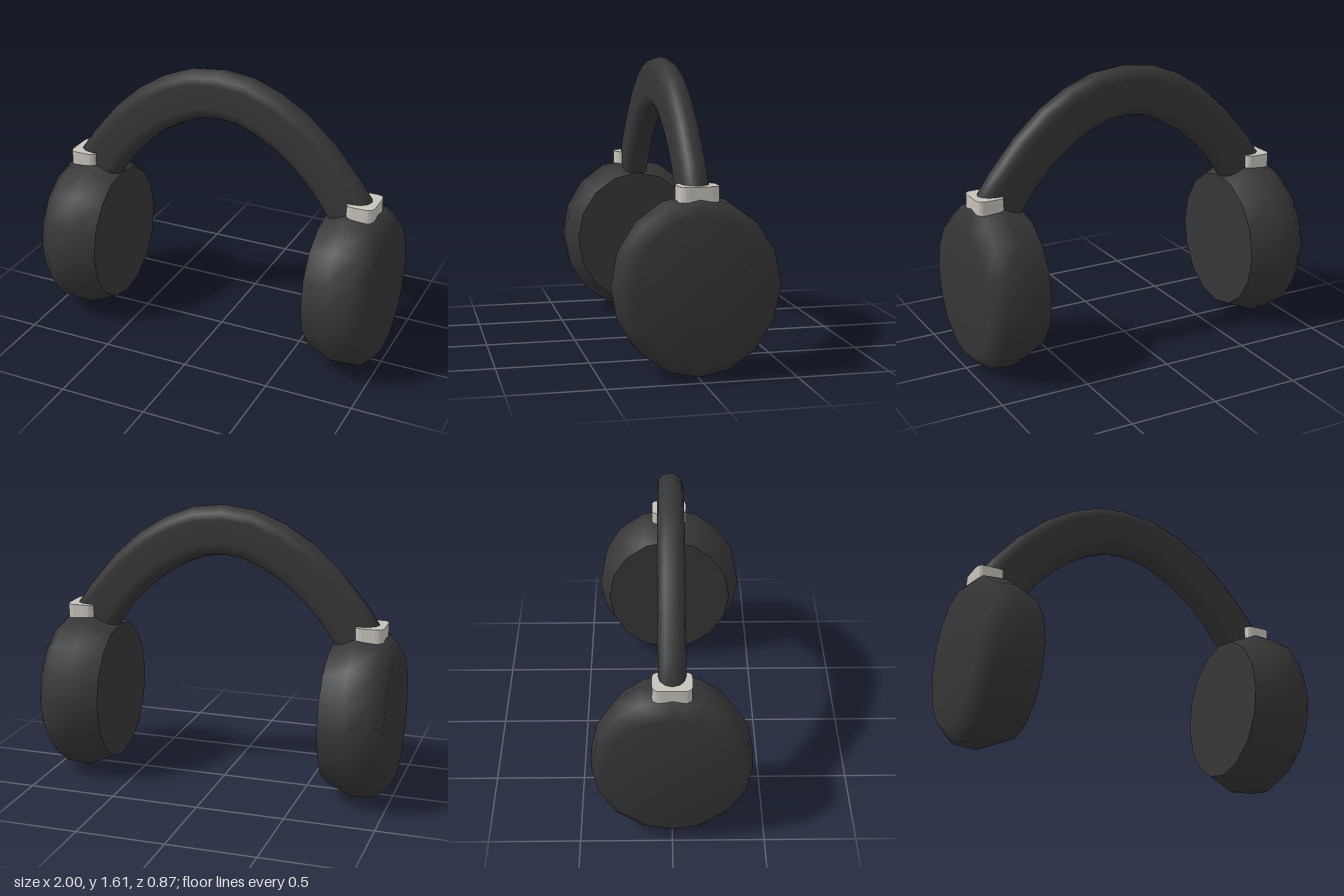
import * as THREE from 'three';

const black = new THREE.MeshStandardMaterial({ color: 0x363636 });
black.name = 'matte black';
const silver = new THREE.MeshStandardMaterial({ color: 0xc6c3ba });
silver.name = 'warm silver';

function mesh(name, geometry, material) {
  const m = new THREE.Mesh(geometry, material);
  m.name = name;
  return m;
}

// Arched band: a rounded section stretched between outer and inner edge points
function bandGeometry() {
  const half = [
    // outer x, outer y, inner x, inner y
    [0.9, 0.9, 0.665, 0.84], [0.9, 0.985, 0.64, 0.875], [0.82, 1.1, 0.55, 1.005],
    [0.67, 1.28, 0.45, 1.11], [0.51, 1.425, 0.34, 1.2], [0.35, 1.525, 0.22, 1.27],
    [0.18, 1.592, 0.11, 1.315], [0, 1.612, 0, 1.328],
  ];
  const mirrored = half.slice(0, -1).reverse().map(([a, b, c, d]) => [-a, b, -c, d]);
  const rings = [...half, ...mirrored];
  const radius = 0.073, arc = 6, count = 2 * (arc + 1);
  const positions = [], index = [];
  for (const [ox, oy, ix, iy] of rings) {
    const outer = new THREE.Vector2(ox, oy), inner = new THREE.Vector2(ix, iy);
    const dir = outer.clone().sub(inner).normalize();
    for (let j = 0; j < count; j++) {
      const onInner = j > arc;
      const a = -Math.PI / 2 + (Math.PI * (j - (onInner ? 1 : 0))) / arc;
      const base = onInner ? inner : outer;
      const u = radius * (Math.cos(a) + (onInner ? 1 : -1));
      positions.push(base.x + dir.x * u, base.y + dir.y * u, radius * Math.sin(a));
    }
  }
  for (let i = 0; i < rings.length - 1; i++) {
    for (let j = 0; j < count; j++) {
      const k = (j + 1) % count;
      const a = i * count + j, b = a + count, c = i * count + k, d = c + count;
      index.push(a, b, c, b, d, c);
    }
  }
  const g = new THREE.BufferGeometry();
  g.setAttribute('position', new THREE.Float32BufferAttribute(positions, 3));
  g.setIndex(index);
  g.computeVertexNormals();
  return g;
}

// Rounded rectangle block that clasps the band
function claspGeometry(hx, hz, r, height) {
  const s = new THREE.Shape();
  s.moveTo(-hx + r, -hz);
  s.lineTo(hx - r, -hz).quadraticCurveTo(hx, -hz, hx, -hz + r);
  s.lineTo(hx, hz - r).quadraticCurveTo(hx, hz, hx - r, hz);
  s.lineTo(-hx + r, hz).quadraticCurveTo(-hx, hz, -hx, hz - r);
  s.lineTo(-hx, -hz + r).quadraticCurveTo(-hx, -hz, -hx + r, -hz);
  return new THREE.ExtrudeGeometry(s, { depth: height, bevelEnabled: false, curveSegments: 4 })
    .rotateX(-Math.PI / 2);
}

function earSide(name) {
  const side = new THREE.Group();
  side.name = name;

  // Oval cup, turned about the x axis
  const profile = [[0.855, 0.64], [1, 0.79], [0.98, 0.925], [0.82, 1], [0, 1]]
    .map(([r, x]) => new THREE.Vector2(r, x));
  const cup = new THREE.LatheGeometry(profile, 16)
    .rotateZ(-Math.PI / 2).scale(1, 0.47, 0.435).translate(0, 0.475, 0);
  side.add(mesh('earCup', cup, black));

  // Flat inner face
  const pad = new THREE.CircleGeometry(0.855, 16)
    .rotateY(-Math.PI / 2).scale(1, 0.47, 0.435).translate(0.64, 0.475, 0);
  side.add(mesh('earPad', pad, black));

  // Clasp on top of the cup
  const clasp = claspGeometry(0.079, 0.105, 0.045, 0.085).translate(0.852, 0.91, 0);
  side.add(mesh('bandClasp', clasp, silver));
  return side;
}

export function createModel() {
  const model = new THREE.Group();
  model.name = 'headphones';
  model.add(mesh('headband', bandGeometry(), black));
  const left = earSide('leftEar');
  const right = earSide('rightEar');
  right.rotation.y = Math.PI;
  model.add(left, right);
  return model;
}
